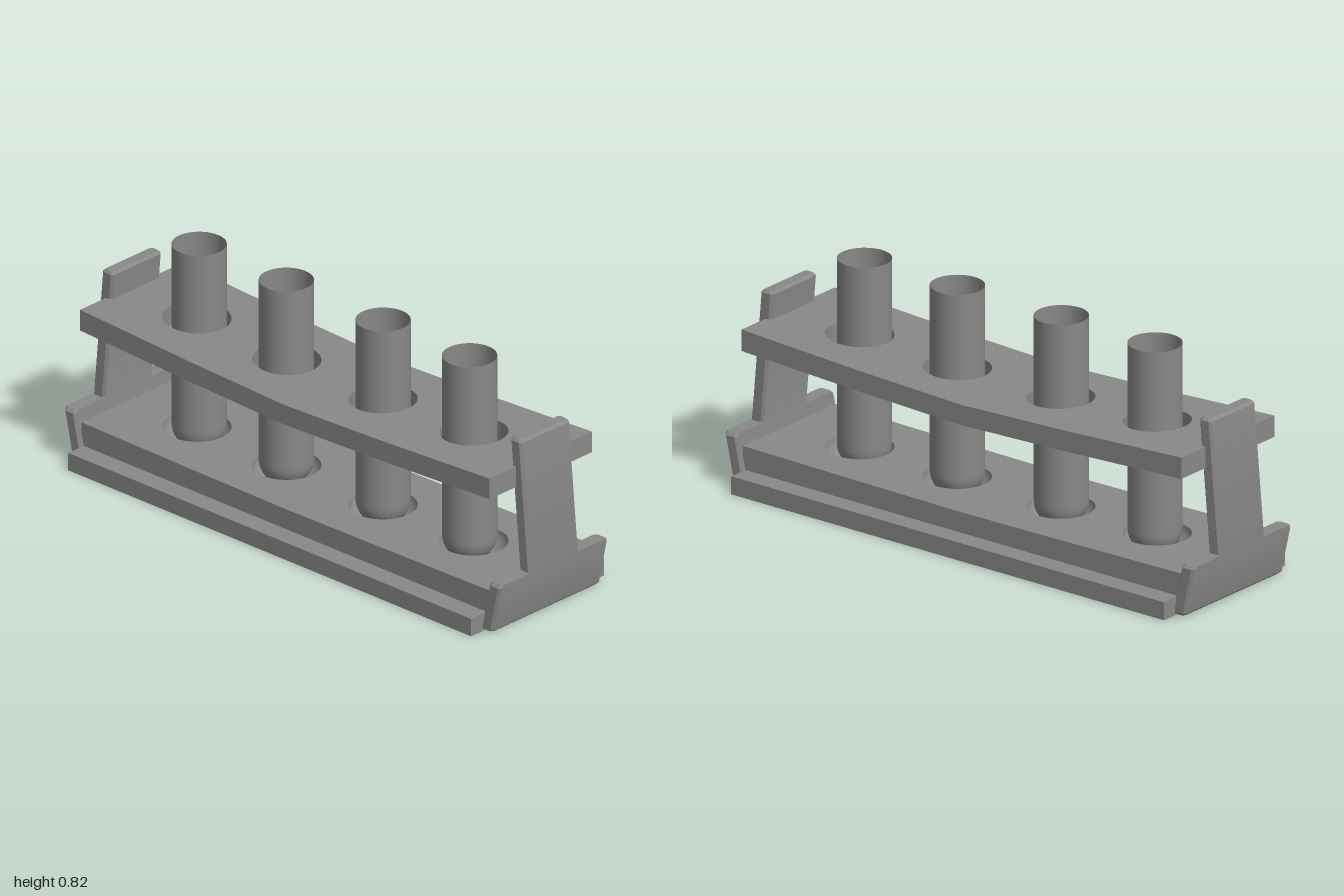
import * as THREE from 'three';
import { mergeGeometries } from 'three/addons/utils/BufferGeometryUtils.js';

const HOLES = [-0.635, -0.225, 0.215, 0.63];
const TUBES = [-0.625, -0.227, 0.215, 0.61];
const CUTS = [-0.43, 0, 0.43];
const HOLE_RADIUS = 0.115;

const material = new THREE.MeshStandardMaterial({ color: 0x898989 });
const openMaterial = new THREE.MeshStandardMaterial({ color: 0x898989, side: THREE.DoubleSide });

function add(group, name, geometry, mat = material) {
  const mesh = new THREE.Mesh(geometry, mat);
  mesh.name = name;
  group.add(mesh);
  return mesh;
}

// Drilled plank made of one cell per hole; yOf(x, t) gives the height at t = 0 (underside) to 1 (top)
function drilledPlank(halfX, halfZ, yOf) {
  const edges = [-halfX, ...CUTS, halfX];
  const cells = HOLES.map((hx, i) => {
    const x0 = edges[i], x1 = edges[i + 1];
    const shape = new THREE.Shape([
      new THREE.Vector2(x0, -halfZ), new THREE.Vector2(x1, -halfZ),
      new THREE.Vector2(x1, halfZ), new THREE.Vector2(x0, halfZ),
    ]);
    shape.holes.push(new THREE.Path().absarc(hx, 0, HOLE_RADIUS, 0, Math.PI * 2, true));
    const g = new THREE.ExtrudeGeometry(shape, { depth: 1, bevelEnabled: false, curveSegments: 20 });
    g.rotateX(-Math.PI / 2);
    const p = g.attributes.position;
    // drop the walls where neighbouring cells meet
    const keep = [];
    for (let v = 0; v < p.count; v += 3) {
      const inner = CUTS.some((c) => [0, 1, 2].every((k) => Math.abs(p.getX(v + k) - c) < 1e-5));
      if (!inner) keep.push(v, v + 1, v + 2);
    }
    for (let v = 0; v < p.count; v++) p.setY(v, yOf(p.getX(v), p.getY(v)));
    g.setIndex(keep);
    return g.toNonIndexed();
  });
  return mergeGeometries(cells);
}

// Piecewise-linear sag: 0 in the middle, 1 at the ends
function sag(x) {
  const a = Math.abs(x);
  return a < 0.43 ? (a / 0.43) * 0.38 : 0.38 + ((a - 0.43) / 0.5) * 0.62;
}

const baseHeight = (x, t) => 0.064 + t * (0.073 + 0.01 * sag(x));
const shelfHeight = (x, t) => 0.448 + 0.072 * t + (0.036 + 0.004 * t) * sag(x);

// End panel: chamfered rectangular sections stacked up a kneed centre line
function endPanelGeometry() {
  const knee = 0.187, top = 0.66;
  const centre = (y) => (y < knee
    ? 0.932 + (0.973 - 0.932) * (y / knee)
    : 0.973 - (0.973 - 0.931) * ((y - knee) / (top - knee)));
  // [height, half width, half thickness]
  const levels = [
    [0.002, 0.252, 0.017], [0.012, 0.262, 0.026], [0.177, 0.262, 0.026], [knee, 0.252, 0.026],
    [knee, 0.12, 0.026], [0.651, 0.12, 0.026], [top, 0.112, 0.018],
  ];
  const c = 0.009;
  const rings = levels.map(([y, w, d]) => [
    [d, w - c], [d, c - w], [d - c, -w], [c - d, -w],
    [-d, c - w], [-d, w - c], [c - d, w], [d - c, w],
  ].map(([x, z]) => [centre(y) + x, y, z]));
  const out = [];
  for (let r = 0; r < rings.length - 1; r++) {
    for (let i = 0; i < 8; i++) {
      const j = (i + 1) % 8;
      const a = rings[r][i], b = rings[r][j], e = rings[r + 1][j], f = rings[r + 1][i];
      out.push(...a, ...b, ...e, ...a, ...e, ...f);
    }
  }
  const first = rings[0], last = rings[rings.length - 1];
  for (let i = 1; i < 7; i++) {
    out.push(...first[0], ...first[i + 1], ...first[i]);
    out.push(...last[0], ...last[i], ...last[i + 1]);
  }
  const g = new THREE.BufferGeometry();
  g.setAttribute('position', new THREE.Float32BufferAttribute(out, 3));
  g.computeVertexNormals();
  // blend the shading of the broad faces across the knee
  const p = g.attributes.position, n = g.attributes.normal;
  for (let v = 0; v < p.count; v++) {
    const nx = n.getX(v), y = p.getY(v);
    if (Math.abs(nx) > 0.9 && y > 0.17 && y < 0.19) n.setXYZ(v, Math.sign(nx), -0.065 * Math.sign(nx), 0);
  }
  g.normalizeNormals();
  return g;
}

// Quarter-ellipse profile rising from the axis at y = bottom to radius r at y = bottom + height
function roundProfile(r, bottom, height) {
  return Array.from({ length: 13 }, (_, i) => {
    const a = (i / 12) * Math.PI / 2;
    return new THREE.Vector2(r * Math.sin(a), bottom + height * (1 - Math.cos(a)));
  });
}

// Open tube with a rounded bottom
function tubeGeometry() {
  const r = 0.092;
  const profile = roundProfile(r, 0.073, 0.09);
  profile.push(new THREE.Vector2(r, 0.18), new THREE.Vector2(r, 0.82));
  return new THREE.LatheGeometry(profile, 40);
}

export function createModel() {
  const group = new THREE.Group();
  group.name = 'testTubeRack';

  // Stepped base: wide plinth and drilled block above it
  add(group, 'basePlinth', new THREE.BoxGeometry(1.84, 0.064, 0.64)).position.y = 0.032;
  add(group, 'baseBlock', drilledPlank(0.93, 0.245, baseHeight));

  // Rounded sockets in the base
  HOLES.forEach((x, i) => {
    const profile = roundProfile(HOLE_RADIUS, 0.068, baseHeight(x, 1) - 0.068);
    add(group, `socket${i + 1}`, new THREE.LatheGeometry(profile, 40), openMaterial).position.x = x;
  });

  // Sagging upper shelf
  add(group, 'shelf', drilledPlank(0.935, 0.247, shelfHeight));

  // Kneed end panels
  const panel = endPanelGeometry();
  add(group, 'leftEndPanel', panel);
  add(group, 'rightEndPanel', panel).rotation.y = Math.PI;

  // Tubes
  const tube = tubeGeometry();
  TUBES.forEach((x, i) => {
    add(group, `tube${i + 1}`, tube, openMaterial).position.x = x;
  });

  return group;
}
